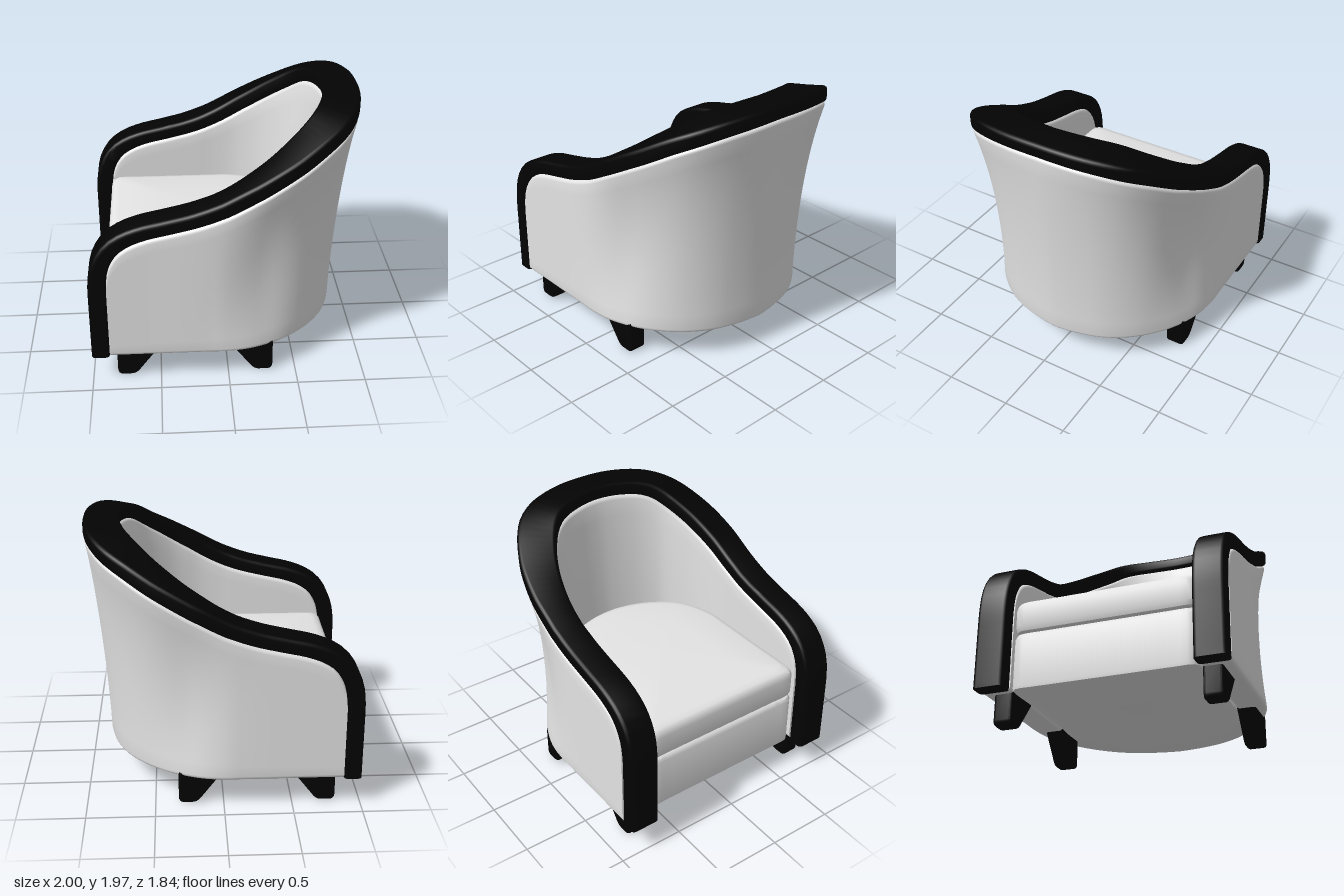
import * as THREE from 'three';
import { toCreasedNormals } from 'three/addons/utils/BufferGeometryUtils.js';

const V = (x, y, z) => new THREE.Vector3(x, y, z);

// Skin a row of equal closed loops, with flat caps on both ends
function loft(loops, crease = 0.7) {
  const n = loops[0].length, pos = [], idx = [];
  const put = (loop) => loop.forEach((p) => pos.push(p.x, p.y, p.z));
  loops.forEach(put);
  for (let i = 0; i < loops.length - 1; i++) {
    for (let j = 0; j < n; j++) {
      const k = (j + 1) % n;
      const a = i * n + j, b = i * n + k, c = b + n, d = a + n;
      idx.push(a, d, c, a, c, b);
    }
  }
  [loops[0], loops[loops.length - 1]].forEach((loop, e) => {
    const s = pos.length / 3;
    put(loop);
    const mid = loop.reduce((m, p) => m.add(p), V(0, 0, 0)).divideScalar(n);
    pos.push(mid.x, mid.y, mid.z);
    for (let j = 0; j < n; j++) {
      const k = (j + 1) % n;
      idx.push(s + n, s + (e ? k : j), s + (e ? j : k));
    }
  });
  const g = new THREE.BufferGeometry();
  g.setAttribute('position', new THREE.Float32BufferAttribute(pos, 3));
  g.setIndex(idx);
  return toCreasedNormals(g, crease);
}

// Rounded rectangle, u centred, v from 0 to h, with extra rows up the sides
function section(w, h, r, rows = 1) {
  const pts = [], S = 4;
  const corner = (cu, cv, a0) => {
    for (let i = 0; i <= S; i++) {
      const a = a0 + (i / S) * Math.PI / 2;
      pts.push([cu + r * Math.cos(a), cv + r * Math.sin(a)]);
    }
  };
  const side = (u, from, to) => {
    for (let i = 1; i < rows; i++) pts.push([u, from + ((to - from) * i) / rows]);
  };
  const e = w / 2 - r;
  corner(e, r, -Math.PI / 2);
  side(w / 2, r, h - r);
  corner(e, h - r, 0);
  corner(-e, h - r, Math.PI / 2);
  side(-w / 2, h - r, r);
  corner(-e, r, Math.PI);
  return pts;
}

// Line where the wall meets the rail: up the arm front, along the arm, round the back
const half = [
  [-0.87, 0.22, 0.795], [-0.87, 0.6, 0.795], [-0.865, 0.85, 0.795], [-0.84, 0.97, 0.795],
  [-0.78, 1.07, 0.795], [-0.7, 1.13, 0.795], [-0.58, 1.178, 0.795], [-0.4, 1.22, 0.796],
  [-0.2, 1.27, 0.798], [0, 1.345, 0.8], [0.235, 1.475, 0.782], [0.465, 1.615, 0.713],
  [0.685, 1.76, 0.57], [0.782, 1.823, 0.43], [0.845, 1.855, 0.225],
].map((p) => V(...p));
const rimPath = new THREE.CatmullRomCurve3([
  ...half, V(0.865, 1.865, 0), ...half.map((p) => V(p.x, p.y, -p.z)).reverse(),
]);

// Places along the rim: N points outward, B up from the wall, width grows at the back corners
function stations(count) {
  const list = [];
  for (let i = 0; i <= count; i++) {
    const p = rimPath.getPointAt(i / count), T = rimPath.getTangentAt(i / count);
    p.x = Math.max(p.x, -0.87);
    const N = p.x < -0.3 ? V(0, 0, Math.sign(p.z)) : V(-T.z, 0, T.x).normalize();
    const turn = 2 * Math.abs(N.x * N.z);
    const width = 0.23 + 0.03 * Math.abs(N.x) + 0.045 * turn;
    list.push({ p, T, N, B: N.clone().cross(T).normalize(), width, turn });
  }
  return list;
}

function railGeometry() {
  return loft(stations(120).map(({ p, T, N, B, width }) =>
    section(width, 0.108 + 0.022 * Math.abs(T.y), 0.03)
      .map(([u, v]) => p.clone().addScaledVector(N, u).addScaledVector(B, v))));
}

// Wall columns hang below the rail; the back flares outward towards the top,
// and the outer face is drawn in at the back corners and at a waist on each side
function wallGeometry() {
  const base = 0.225;
  return loft(stations(120).filter(({ p }) => p.y > 0.8).map(({ p, N, width, turn }) => {
    const h = p.y - base;
    const flare = 0.138 * Math.max(0, p.x / 0.865) ** 1.5;
    const waist = 0.06 * Math.exp(-(((p.x - 0.25) / 0.25) ** 2));
    return section(width - 0.008, h, 0.03, 12).map(([u, v]) => {
      const f = v / h;
      let out = u - flare * (1 - f ** 1.5);
      if (u > 0) out -= 0.075 * turn * (1 - f ** 4) + waist * Math.sin(Math.PI * f);
      return V(p.x + N.x * out, base + v, p.z + N.z * out);
    });
  }));
}

// D-shaped seat outline, straight at the front and round at the back
const sidePts = [
  [0.645, 0.15], [0.575, 0.35], [0.41, 0.565], [0.14, 0.675], [-0.1, 0.683], [-0.5, 0.683],
  [-0.82, 0.683], [-0.855, 0.67], [-0.87, 0.63], [-0.87, 0.5], [-0.87, 0.25],
];
const outline = new THREE.CatmullRomCurve3([
  V(0.66, 0, 0), ...sidePts.map(([x, z]) => V(x, 0, z)), V(-0.87, 0, 0),
  ...sidePts.map(([x, z]) => V(x, 0, -z)).reverse(),
], true).getSpacedPoints(120).slice(0, 120);

// Stack of seat outlines, each given as [scale, height]
const seatGeometry = (rings) => loft(rings.map(([s, y]) =>
  outline.map((p) => V(-0.1 + (p.x + 0.1) * s, y, p.z * s))));

// Tapered foot, vertical on its outer edge
function legGeometry() {
  const b = 0.02;
  const s = new THREE.Shape();
  s.moveTo(b, 0.24);
  s.lineTo(b, 0.04);
  s.quadraticCurveTo(b, b, 0.04, b);
  s.lineTo(0.1, b);
  s.quadraticCurveTo(0.125, b, 0.145, 0.045);
  s.lineTo(0.3, 0.24);
  const g = new THREE.ExtrudeGeometry(s, {
    depth: 0.1, bevelSize: b, bevelThickness: b, bevelSegments: 3, curveSegments: 5,
  });
  g.translate(0, 0, -0.05);
  return toCreasedNormals(g, 0.7);
}

export function createModel() {
  const fabric = new THREE.MeshStandardMaterial({ color: 0xe4e4e4 });
  fabric.name = 'light grey fabric';
  const black = new THREE.MeshStandardMaterial({ color: 0x030303 });
  black.name = 'black trim';

  const group = new THREE.Group();
  group.name = 'tubArmchair';
  const add = (name, geometry, material) => {
    const mesh = new THREE.Mesh(geometry, material);
    mesh.name = name;
    group.add(mesh);
    return mesh;
  };

  add('rail', railGeometry(), black);
  add('wall', wallGeometry(), fabric);
  add('seatBase', seatGeometry([
    [0.985, 0.225], [0.997, 0.23], [1, 0.25], [1, 0.615], [0.985, 0.645], [0.95, 0.66],
  ]), fabric);
  add('seatCushion', seatGeometry([
    [0.95, 0.655], [0.985, 0.67], [1, 0.705], [1, 0.84], [0.988, 0.88], [0.96, 0.902],
    [0.9, 0.912], [0.5, 0.925], [0.03, 0.93],
  ]), fabric);

  // Four feet, the back pair turned round
  const leg = legGeometry();
  for (const z of [0.76, -0.76]) {
    add('frontLeg', leg, black).position.set(-0.82, 0, z);
    const rear = add('backLeg', leg, black);
    rear.position.set(0.33, 0, z);
    rear.rotation.y = Math.PI;
  }
  return group;
}
